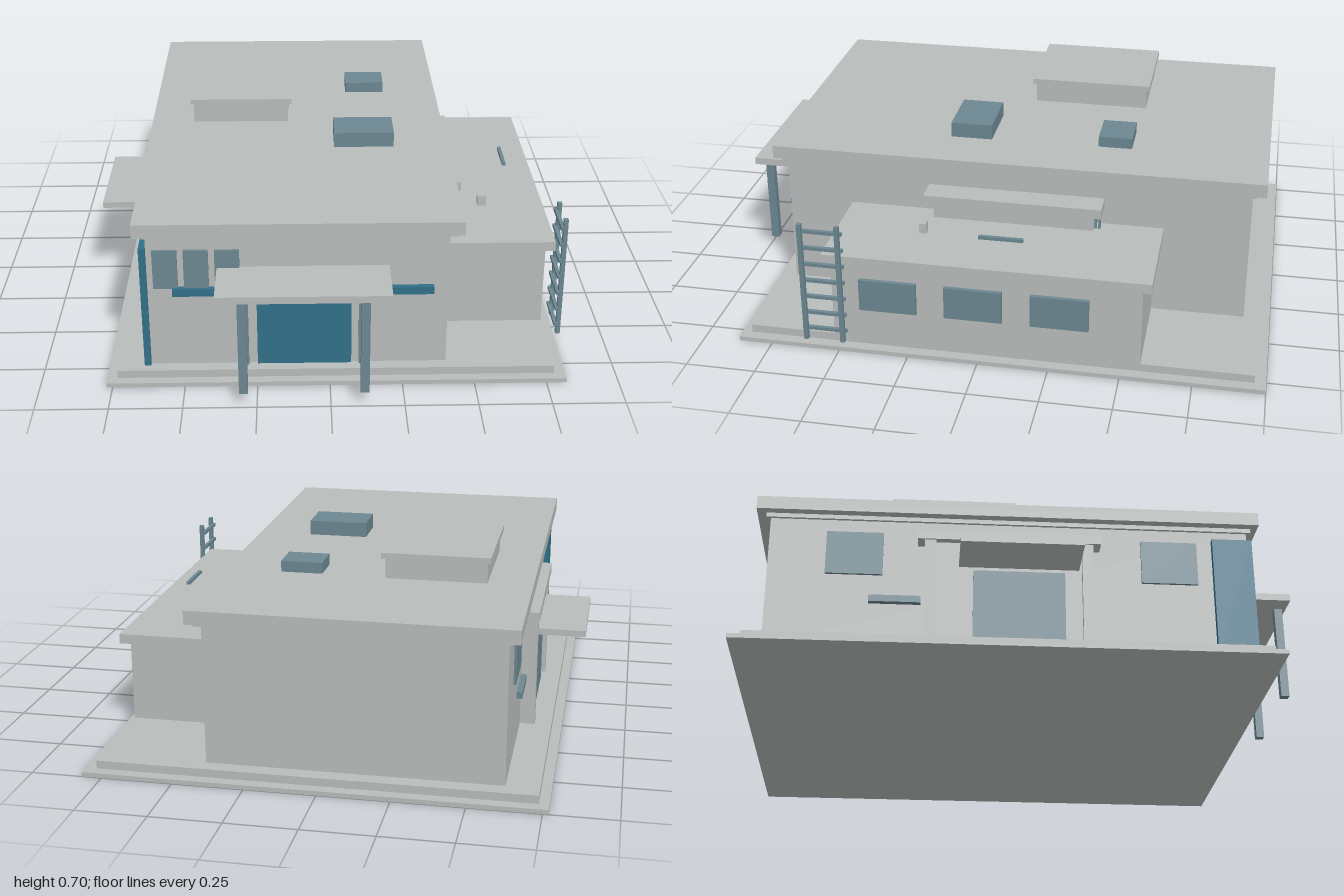
import * as THREE from 'three';

export function createModel() {
  const model = new THREE.Group();
  model.name = 'building';
  const mat = (name, color) => {
    const m = new THREE.MeshStandardMaterial({ color });
    m.name = name;
    return m;
  };
  const concrete = mat('concrete', 0xb8bcba);
  const metal = mat('blueGreyGlassAndMetal', 0x6c8791);
  const teal = mat('teal', 0x307089);

  // Box given by its extents on each axis
  const box = (name, material, [x0, x1], [y0, y1], [z0, z1]) => {
    const mesh = new THREE.Mesh(new THREE.BoxGeometry(x1 - x0, y1 - y0, z1 - z0), material);
    mesh.position.set((x0 + x1) / 2, (y0 + y1) / 2, (z0 + z1) / 2);
    mesh.name = name;
    model.add(mesh);
    return mesh;
  };

  // Stepped base
  box('groundSlab', concrete, [-0.77, 0.82], [0, 0.016], [-1, 0.87]);
  box('floorSlab', concrete, [-0.735, 0.78], [0.016, 0.045], [-0.96, 0.835]);

  // Main hall with a two-step roof edge
  box('mainWalls', concrete, [-0.62, 0.405], [0.045, 0.54], [-0.905, 0.79]);
  box('cornice', concrete, [-0.63, 0.43], [0.54, 0.556], [-0.92, 0.805]);
  box('mainRoof', concrete, [-0.66, 0.45], [0.556, 0.605], [-0.953, 0.83]);

  // Roof hatch and skylights
  box('roofHatch', concrete, [-0.5, -0.14], [0.605, 0.68], [-0.47, -0.045]);
  box('roofHatchCap', concrete, [-0.512, -0.126], [0.68, 0.7], [-0.483, -0.033]);
  box('largeSkylight', metal, [0.03, 0.25], [0.605, 0.66], [0.055, 0.207]);
  box('smallSkylight', metal, [0.09, 0.24], [0.605, 0.645], [-0.46, -0.338]);

  // Side annex, its windows and roof fittings
  box('annexWalls', concrete, [0.405, 0.78], [0.045, 0.345], [-0.568, 0.525]);
  box('annexRoof', concrete, [0.405, 0.81], [0.345, 0.38], [-0.6, 0.55]);
  for (const z of [0.322, 0.018, -0.285])
    box('annexWindow', metal, [0.78, 0.795], [0.162, 0.282], [z - 0.102, z + 0.102]);
  box('roofVent', concrete, [0.565, 0.597], [0.38, 0.418], [0.225, 0.25]);
  box('roofRail', metal, [0.687, 0.7], [0.434, 0.446], [-0.143, 0.014]);

  // Clerestory over the annex
  box('clerestoryWall', concrete, [0.405, 0.468], [0.38, 0.445], [-0.355, 0.228]);
  box('clerestoryCap', concrete, [0.405, 0.5], [0.445, 0.48], [-0.385, 0.257]);
  for (const z of [-0.361, -0.374])
    box('clerestoryPipe', metal, [0.44, 0.45], [0.38, 0.44], [z - 0.004, z + 0.004]);

  // Ladder
  for (const z of [0.48, 0.613])
    box('ladderRail', metal, [0.819, 0.835], [0.045, 0.503], [z - 0.008, z + 0.008]);
  for (let i = 0; i < 7; i++) {
    const y = 0.085 + i * 0.0643;
    box('ladderRung', metal, [0.81, 0.823], [y - 0.006, y + 0.006], [0.466, 0.626]);
  }

  // Front entrance
  box('frontCanopy', concrete, [-0.382, 0.202], [0.4, 0.426], [0.79, 1]);
  box('frontDoor', teal, [-0.25, 0.075], [0.045, 0.352], [0.79, 0.797]);
  for (const x of [-0.295, 0.115]) {
    box('canopyPost', metal, [x - 0.015, x + 0.015], [0.045, 0.4], [0.956, 0.986]);
    box('doorJamb', metal, [x - 0.015, x + 0.015], [0.045, 0.4], [0.79, 0.803]);
  }
  for (const x of [-0.422, 0.242])
    box('frontBand', teal, [x - 0.113, x + 0.113], [0.322, 0.35], [0.79, 0.81]);
  for (const x of [-0.557, -0.452, -0.347])
    box('frontWindow', metal, [x - 0.042, x + 0.042], [0.347, 0.492], [0.79, 0.799]);
  box('cornerPanel', teal, [-0.643, -0.62], [0.045, 0.502], [0.66, 0.803]);

  // Side entrance
  box('sidePorch', concrete, [-0.655, -0.62], [0.045, 0.445], [-0.36, 0.23]);
  box('sidePorchCap', concrete, [-0.68, -0.62], [0.445, 0.48], [-0.385, 0.257]);
  for (const z of [-0.34, 0.21])
    box('sidePorchPier', concrete, [-0.674, -0.655], [0.045, 0.445], [z - 0.02, z + 0.02]);
  box('sideCanopy', concrete, [-0.84, -0.62], [0.35, 0.373], [-0.24, 0.18]);
  box('sideDoor', metal, [-0.662, -0.655], [0.045, 0.335], [-0.19, 0.13]);
  box('sideTransom', metal, [-0.662, -0.655], [0.385, 0.43], [-0.19, 0.13]);
  for (const z of [-0.605, 0.505])
    box('sideWindow', metal, [-0.629, -0.62], [0.325, 0.49], [z - 0.1, z + 0.1]);
  box('sideLedge', metal, [-0.64, -0.62], [0.215, 0.24], [-0.55, -0.37]);

  return model;
}
